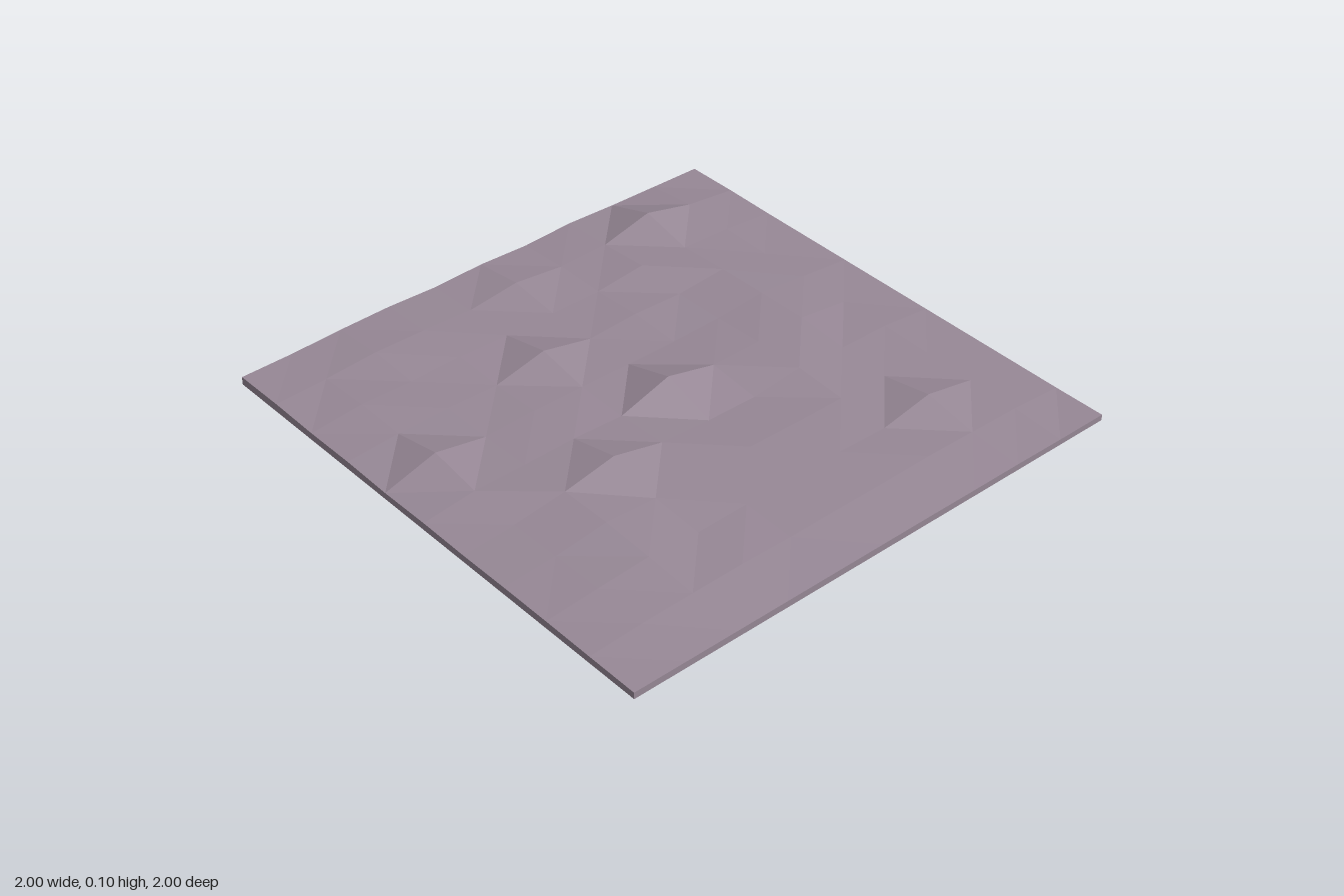
import * as THREE from 'three';

const N = 10;        // cells per side
const CELL = 2 / N;

// Heights in thousandths, one row per step from back (z = -1) to front (z = 1)
const HEIGHTS = [
  [20, 22, 20, 20, 20, 20, 20, 20, 20, 20, 22],
  [24, 45, 38, 34, 40, 36, 42, 38, 36, 34, 22],
  [28, 93, 46, 56, 60, 62, 46, 38, 76, 38, 24],
  [36, 44, 58, 42, 46, 56, 58, 46, 38, 42, 24],
  [28, 40, 38, 50, 42, 56, 36, 46, 44, 40, 25],
  [36, 62, 40, 40, 44, 105, 40, 50, 46, 40, 25],
  [30, 38, 40, 85, 48, 43, 52, 50, 44, 38, 25],
  [38, 46, 46, 40, 50, 52, 100, 52, 40, 42, 25],
  [36, 50, 40, 46, 44, 50, 62, 64, 54, 40, 25],
  [30, 38, 46, 42, 83, 50, 38, 40, 42, 36, 25],
  [30, 32, 28, 30, 25, 28, 26, 28, 28, 26, 25],
];

const point = (i, j) => [-1 + i * CELL, HEIGHTS[j][i] / 1000, -1 + j * CELL];

function facetedMesh(name, corners, material) {
  const geometry = new THREE.BufferGeometry();
  geometry.setAttribute('position', new THREE.Float32BufferAttribute(corners.flat(), 3));
  geometry.computeVertexNormals();
  const mesh = new THREE.Mesh(geometry, material);
  mesh.name = name;
  return mesh;
}

export function createModel() {
  const group = new THREE.Group();
  group.name = 'groundPatch';
  const material = new THREE.MeshStandardMaterial({
    color: 0x978896, flatShading: true, side: THREE.DoubleSide,
  });

  // Bumpy ground: each cell is split along its shorter diagonal
  const ground = [];
  for (let j = 0; j < N; j++) {
    for (let i = 0; i < N; i++) {
      const a = point(i, j), b = point(i, j + 1);
      const c = point(i + 1, j + 1), d = point(i + 1, j);
      if (Math.abs(a[1] - c[1]) < Math.abs(b[1] - d[1])) ground.push(a, b, c, a, c, d);
      else ground.push(a, b, d, b, c, d);
    }
  }
  group.add(facetedMesh('groundSurface', ground, material));

  // Skirt: walls dropping from the rim to the floor, open underneath
  const sides = {
    frontSkirt: (k) => point(k, N),
    rightSkirt: (k) => point(0, k),
    backSkirt: (k) => point(N - k, 0),
    leftSkirt: (k) => point(N, N - k),
  };
  for (const [name, rim] of Object.entries(sides)) {
    const wall = [];
    for (let k = 0; k < N; k++) {
      const p = rim(k), q = rim(k + 1);
      const p0 = [p[0], 0, p[2]], q0 = [q[0], 0, q[2]];
      wall.push(p0, q0, q, p0, q, p);
    }
    group.add(facetedMesh(name, wall, material));
  }
  return group;
}
